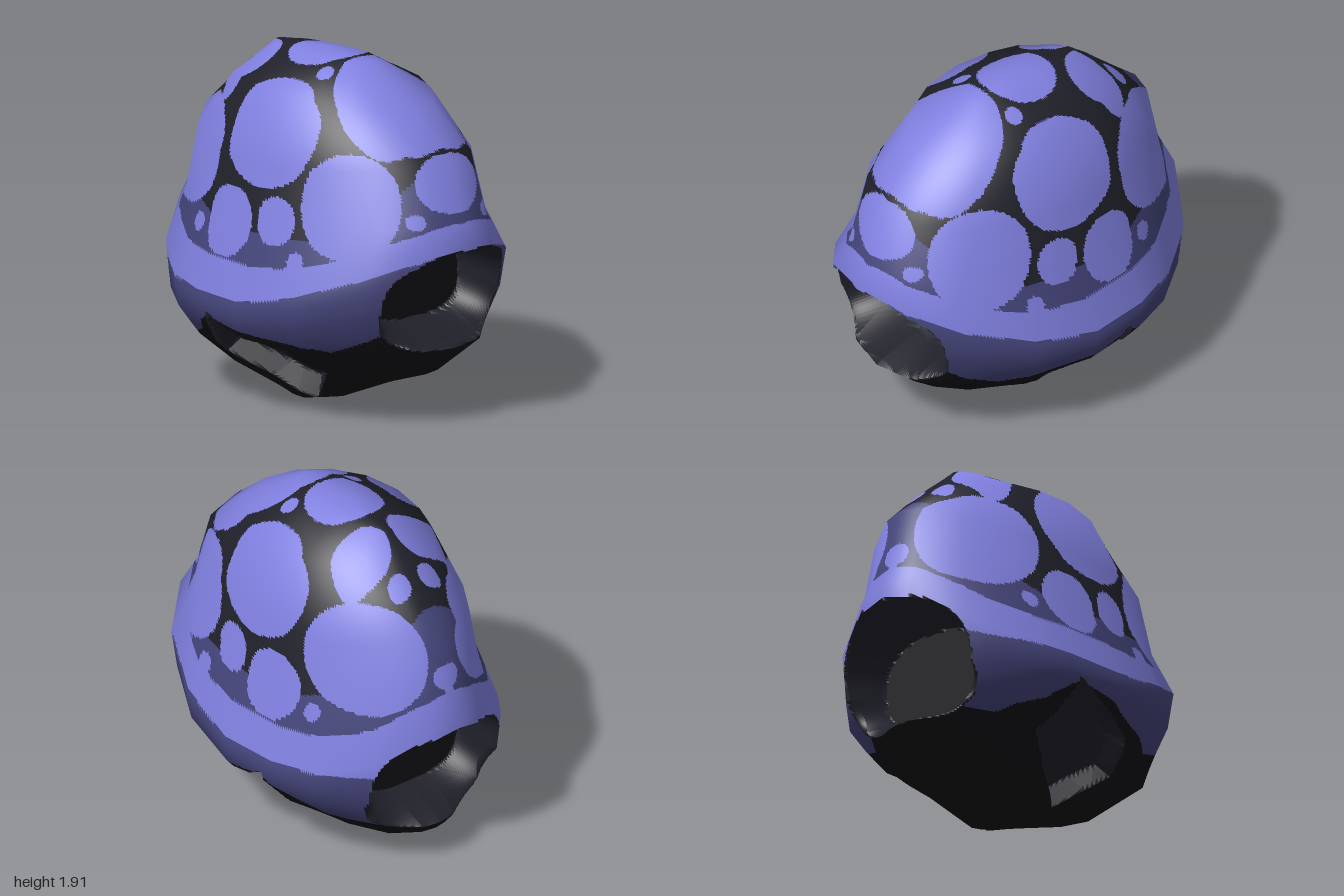
import * as THREE from 'three';

const N = 20; // fine cells per coarse facet

// Facet corner angles round the shell, front to back, then mirrored
const HALF = [0, 23.5, 45, 68, 90, 109, 124, 146, 167, 180];
const ANGLES = [...HALF, ...HALF.slice(1, -1).reverse().map((a) => 360 - a)].map(THREE.MathUtils.degToRad);
const SIDES = ANGLES.length;

const material = (name, color) => {
  const m = new THREE.MeshStandardMaterial({ color });
  m.name = name;
  return m;
};

// Rings from crown to belly: front length, back length, half width, then height at front, side, back
const RINGS = [
  [0.28, 0.46, 0.14, 1.89, 1.89, 1.89],
  [0.60, 0.67, 0.42, 1.69, 1.75, 1.70],
  [0.87, 0.90, 0.565, 1.45, 1.37, 1.50],
  [0.97, 0.97, 0.615, 1.14, 1.03, 1.17],
  [1.045, 1.06, 0.765, 1.01, 0.63, 1.00],
  [1.00, 1.04, 0.745, 0.75, 0.49, 0.58],
  [0.92, 0.96, 0.61, 0.44, 0.33, 0.34],
  [0.68, 0.86, 0.36, 0.24, 0.15, 0.20],
  [0.32, 0.30, 0.25, 0.12, 0.03, 0.12],
];

// Spots, mirrored across x: centre x, y, z, then radii in x, y, z
const SPOTS = [
  [0, 1.91, -0.07, 0.21, 9, 0.205],
  [0, 1.75, 0.48, 0.365, 9, 0.32],
  [0.19, 1.82, -0.455, 0.165, 9, 0.145],
  [0.10, 1.68, -0.675, 0.065, 9, 0.055],
  [0.215, 1.87, 0.13, 0.047, 9, 0.047],
  [0.48, 1.53, 0, 0.6, 0.28, 0.315],
  [0.47, 1.22, 0.57, 0.285, 0.285, 0.28],
  [0.35, 1.32, -0.69, 0.31, 0.305, 0.36],
  [0, 1.335, 0.90, 0.225, 0.155, 0.3],
  [0.58, 1.09, 0.14, 0.3, 0.13, 0.125],
  [0.57, 1.03, -0.21, 0.3, 0.19, 0.185],
  [0.25, 1.155, 0.87, 0.05, 0.042, 0.08],
  [0.65, 0.90, 0.33, 0.2, 0.055, 0.055],
  [0.65, 0.85, 0.35, 0.2, 0.07, 0.025],
  [0.58, 0.97, -0.49, 0.2, 0.048, 0.05],
  [0, 1.22, -0.95, 0.08, 0.07, 0.2],
  [0, 1.15, -0.97, 0.03, 0.06, 0.2],
];

// Wavy upper edge of the belly: angle from the front, height
const BELLY_EDGE = [[0, 0.6], [35, 0.54], [55, 0.42], [82, 0.46], [105, 0.52], [117, 0.4], [137, 0.3], [181, 0.3]];

// Side opening corners in its own sloping plane: along the shell, up the slope
const SIDE_HOLE = [[0.347, -0.05], [0.24, 0.18], [-0.26, 0.36], [-0.35, 0], [0.09, -0.34]];

// Height that varies round the shell between front, side and back
function around(t, front, side, back, power = 1.5) {
  const c = Math.cos(t);
  return c > 0 ? side + (front - side) * c ** power : side + (back - side) * Math.abs(c) ** 5;
}

function bellyEdge(t) {
  const a = THREE.MathUtils.radToDeg(Math.abs(t));
  const i = BELLY_EDGE.findIndex(([angle]) => angle > a);
  const [a0, y0] = BELLY_EDGE[i - 1], [a1, y1] = BELLY_EDGE[i];
  return THREE.MathUtils.mapLinear(a, a0, a1, y0, y1);
}

// Coarse facet corners and their smooth normals
function coarseShell() {
  const pole = (y, z) => ANGLES.map(() => new THREE.Vector3(0, y, z));
  const rows = [pole(1.915, -0.09)];
  for (const [af, ab, b, yf, ys, yb] of RINGS) {
    rows.push(ANGLES.map((t) => {
      const c = Math.cos(t);
      return new THREE.Vector3(b * Math.sin(t), around(t, yf, ys, yb), (c > 0 ? af : ab) * c);
    }));
  }
  rows.push(pole(0, 0.04));
  const index = [];
  for (let k = 0; k < rows.length - 1; k++) for (let j = 0; j < SIDES; j++) {
    const a = k * SIDES + j, d = k * SIDES + (j + 1) % SIDES;
    index.push(a, a + SIDES, d + SIDES, a, d + SIDES, d);
  }
  const g = new THREE.BufferGeometry().setFromPoints(rows.flat());
  g.setIndex(index);
  g.computeVertexNormals();
  const normals = rows.map((row, k) => row.map((_, j) => {
    if (k === 0) return new THREE.Vector3(0, 1, 0);
    if (k === rows.length - 1) return new THREE.Vector3(0, -1, 0);
    return new THREE.Vector3().fromBufferAttribute(g.attributes.normal, k * SIDES + j);
  }));
  return { rows, normals };
}

function sample(grid, r, c) {
  const k = Math.min(Math.floor(r / N), grid.length - 2), j = Math.floor(c / N) % SIDES;
  const fv = r / N - k, fu = (c % N) / N, j2 = (j + 1) % SIDES;
  const top = grid[k][j].clone().lerp(grid[k][j2], fu);
  return top.lerp(grid[k + 1][j].clone().lerp(grid[k + 1][j2], fu), fv);
}

// Sinks a point that lies in an opening; returns 0 outside, 1 on a wall, 2 on an end floor
function sink(p) {
  const front = p.z > 0;
  if (Math.abs(p.z) > 0.5) { // neck and tail openings, rounder above than below
    const cy = front ? 0.71 : 0.585, h = front ? 0.28 : 0.33;
    const e = p.y > cy ? 2.3 : 3;
    const q = (Math.abs(p.x / 0.43) ** e + Math.abs((p.y - cy) / h) ** e) ** (1 / e);
    if (q < 1) {
      const s = Math.min(1, (1 - q) / 0.22);
      p.z += ((front ? 0.58 : -0.62) - p.z) * s;
      p.y += 0.045 * s;
      return s < 1 ? 1 : 2;
    }
  }
  if (p.y < 0.62 && Math.abs(p.x) > 0.1) { // five-sided side openings
    const across = ((Math.abs(p.x) - 0.48) + (p.y - 0.27)) * Math.SQRT1_2;
    const inset = Math.min(...SIDE_HOLE.map(([x0, y0], i) => {
      const [x1, y1] = SIDE_HOLE[(i + 1) % SIDE_HOLE.length];
      return ((x1 - x0) * (across - y0) - (y1 - y0) * (p.z - x0)) / Math.hypot(x1 - x0, y1 - y0);
    }));
    if (inset > 0) {
      const d = 0.085 * Math.min(1, inset / 0.045);
      p.x -= Math.sign(p.x) * d;
      p.y += d;
      return 1;
    }
  }
  return 0;
}

// Part of the shell that a surface point belongs to
function partAt(p) {
  const t = Math.atan2(p.x / 0.765, p.z / 1.04), c = Math.cos(t);
  if (p.y < bellyEdge(t)) return 'belly';
  if (p.y < around(t, 1.0, 0.66, 0.74) - 0.005) return 'lowerSkirt';
  if (p.y < around(t, 1.13, 0.84, 1.13, 2)) return 'rimBand';
  const hit = SPOTS.some(([x, y, z, rx, ry, rz]) =>
    Math.abs((Math.abs(p.x) - x) / rx) ** 2.2 + Math.abs((p.y - y) / ry) ** 2.2 + Math.abs((p.z - z) / rz) ** 2.2 < 1);
  if (hit) return 'spots';
  return p.y < 1.01 + (c > 0 ? 0.46 : 0.57) * Math.abs(c) ** 4 ? 'lowerNet' : 'upperNet';
}

export function createModel() {
  const group = new THREE.Group();
  group.name = 'shell';
  const light = material('periwinkle', 0x7f7fdf);
  const mid = material('dusk purple', 0x44447a);
  const dark = material('charcoal', 0x20202a);
  const black = material('near black', 0x111116);
  const skins = {
    spots: light, rimBand: light, lowerNet: mid, lowerSkirt: mid,
    upperNet: dark, openingWalls: dark, openingFloors: black, belly: black,
  };
  const parts = {};
  for (const name in skins) parts[name] = { pos: [], nor: [] };

  // Fine grid over the facets
  const { rows, normals } = coarseShell();
  const R = (rows.length - 1) * N, C = SIDES * N;
  const grid = [];
  for (let r = 0; r <= R; r++) {
    grid.push([]);
    for (let c = 0; c < C; c++) {
      const p = sample(rows, r, c), n = sample(normals, r, c).normalize();
      grid[r].push({ p, n, sunk: sink(p) });
    }
  }

  // Sort every small face into its part
  const centre = new THREE.Vector3();
  const face = (...v) => {
    centre.set(0, 0, 0);
    v.forEach((q) => centre.addScaledVector(q.p, 1 / 3));
    let name = partAt(centre);
    if (v.every((q) => q.sunk === 2)) name = 'openingFloors';
    else if (v.some((q) => q.sunk)) name = 'openingWalls';
    for (const q of v) {
      parts[name].pos.push(q.p.x, q.p.y, q.p.z);
      parts[name].nor.push(q.n.x, q.n.y, q.n.z);
    }
  };
  for (let r = 0; r < R; r++) for (let c = 0; c < C; c++) {
    const d = (c + 1) % C;
    const a = grid[r][c], b = grid[r + 1][c], e = grid[r + 1][d], f = grid[r][d];
    if (r < R - 1) face(a, b, e);
    else face(a, b, f);
    if (r > 0 && r < R - 1) face(a, e, f);
  }

  for (const name in parts) {
    const g = new THREE.BufferGeometry();
    g.setAttribute('position', new THREE.Float32BufferAttribute(parts[name].pos, 3));
    if (name.startsWith('opening')) g.computeVertexNormals(); // crisp walls and floors
    else g.setAttribute('normal', new THREE.Float32BufferAttribute(parts[name].nor, 3));
    const mesh = new THREE.Mesh(g, skins[name]);
    mesh.name = name;
    group.add(mesh);
  }

  // The shell sits turned towards its left
  group.rotation.y = THREE.MathUtils.degToRad(27);
  const model = new THREE.Group();
  model.name = 'model';
  model.add(group);
  return model;
}
